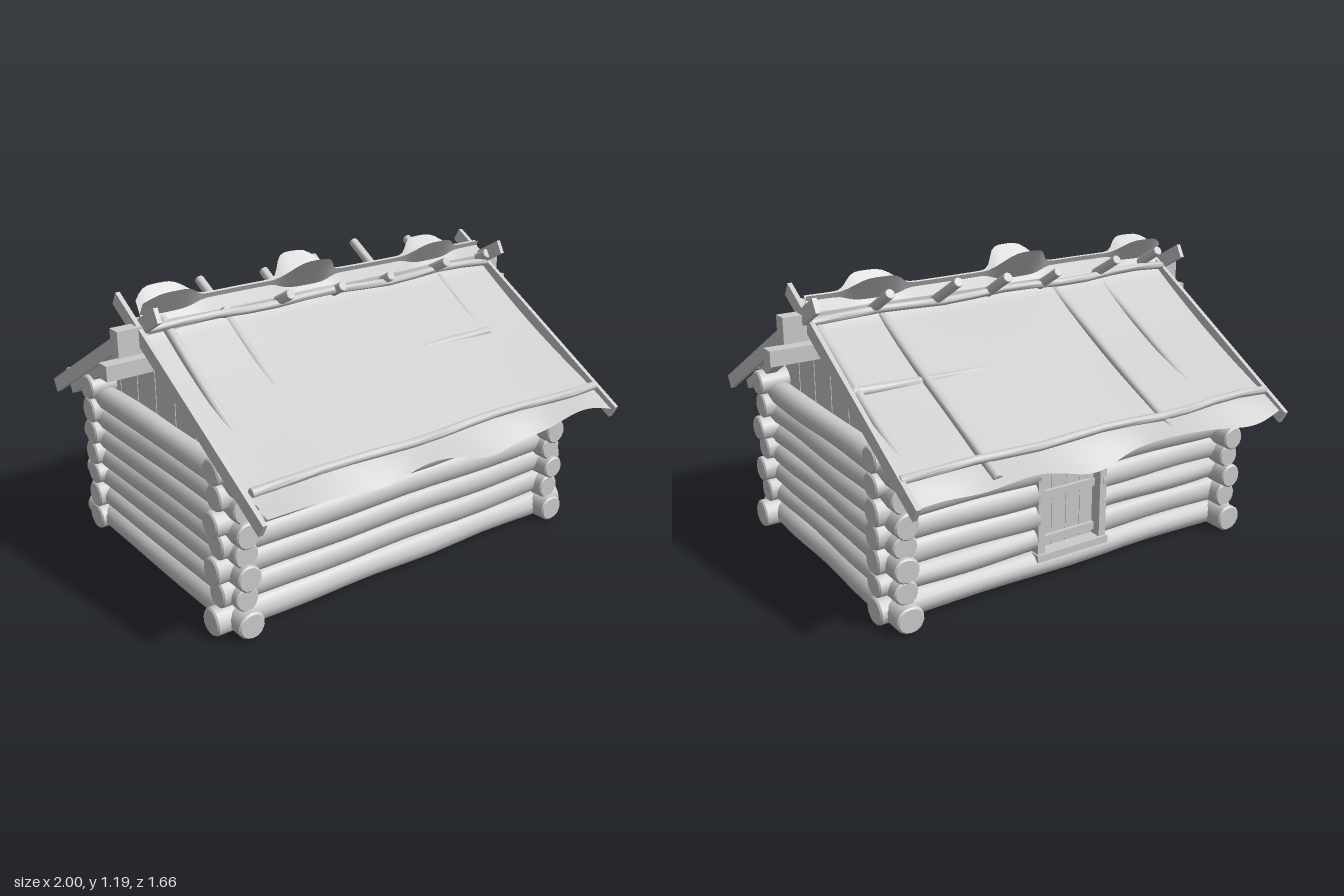
import * as THREE from 'three';
import { toCreasedNormals } from 'three/addons/utils/BufferGeometryUtils.js';

const grey = new THREE.MeshStandardMaterial({ color: 0xcccccc });
const thin = new THREE.MeshStandardMaterial({ color: 0xcccccc, side: THREE.DoubleSide });
const V = (x, y, z) => new THREE.Vector3(x, y, z);

let seed = 7;
const rnd = () => {
  seed = (seed * 16807) % 2147483647;
  return seed / 2147483647;
};

function add(parent, name, geometry, material = grey) {
  const mesh = new THREE.Mesh(geometry, material);
  mesh.name = name;
  parent.add(mesh);
  return mesh;
}

function group(parent, name) {
  const g = new THREE.Group();
  g.name = name;
  parent.add(g);
  return g;
}

// Round timber from a to b with bevelled ends and a slight wobble
function pole(parent, name, a, b, r, wobble = 0.002, sides = 14) {
  const len = a.distanceTo(b), h = len / 2, bevel = r * 0.12;
  const pts = [new THREE.Vector2(0, -h), new THREE.Vector2(r * 0.88, -h)];
  for (let i = 0; i <= 12; i++) pts.push(new THREE.Vector2(r, -h + bevel + (len - 2 * bevel) * i / 12));
  pts.push(new THREE.Vector2(r * 0.88, h), new THREE.Vector2(0, h));
  const geo = new THREE.LatheGeometry(pts, sides);
  const p = geo.attributes.position, ph = rnd() * 6, f = 6 + rnd() * 5;
  for (let i = 0; i < p.count; i++) {
    const x = p.getX(i), y = p.getY(i), z = p.getZ(i);
    const swell = 1 + 0.03 * Math.sin(y * 9 + ph) + 0.04 * Math.sin(x * 60 + ph);
    p.setX(i, x * swell + wobble * Math.sin(y * f + ph));
    p.setZ(i, z * swell + wobble * Math.cos(y * f * 0.8 + ph));
  }
  const mesh = add(parent, name, toCreasedNormals(geo, 0.7));
  mesh.position.copy(a).add(b).multiplyScalar(0.5);
  mesh.quaternion.setFromUnitVectors(V(0, 1, 0), b.clone().sub(a).normalize());
  return mesh;
}

function box(parent, name, w, h, d, x, y, z) {
  const mesh = add(parent, name, new THREE.BoxGeometry(w, h, d));
  mesh.position.set(x, y, z);
  return mesh;
}

// Height of the roof covering at a distance d from the ridge
const roofY = (d) => 1.042 - 0.572 * d;

function buildWalls(root) {
  const walls = group(root, 'logWalls');
  const longY = [0.062, 0.165, 0.265, 0.36, 0.452, 0.55, 0.65];
  const sideY = [0.06, 0.155, 0.25, 0.335, 0.42, 0.51, 0.6];
  const out = [0.03, 0, 0.02, 0, 0.02, 0, 0.01];
  longY.forEach((y, i) => {
    const r = i ? 0.052 : 0.057, e = 0.85 + out[i];
    pole(walls, 'frontLog', V(-e, y, 0.495), V(e, y, 0.495), r);
    if (i === 0 || i === 6) pole(walls, 'backLog', V(-0.845, y, -0.5), V(0.85, y, -0.5), r);
    else {
      pole(walls, 'backLogLeft', V(0.15, y, -0.5), V(0.85, y, -0.5), r);
      pole(walls, 'backLogRight', V(-0.845, y, -0.5), V(-0.14, y, -0.5), r);
    }
  });
  sideY.forEach((y, i) => {
    const r = i ? 0.05 : 0.056, e = 0.58 + out[i];
    for (const s of [-1, 1]) pole(walls, 'sideLog', V(s * 0.77, y, -e - 0.02), V(s * 0.77, y, e), r);
  });
}

// Vertical boards inside each end wall, filling the triangle under the roof
function buildGables(root) {
  const n = 13, w = 0.98 / n;
  const top = (z) => 0.985 - 0.572 * Math.abs(z);
  for (const s of [-1, 1]) {
    const gable = group(root, s > 0 ? 'leftGable' : 'rightGable');
    for (let i = 0; i < n; i++) {
      const z0 = -0.49 + i * w + 0.001, z1 = z0 + w - 0.002, mid = (z0 + z1) / 2;
      const shape = new THREE.Shape([[z0, 0.4], [z1, 0.4], [z1, top(z1)], [mid, top(mid)], [z0, top(z0)]]
        .map((c) => new THREE.Vector2(...c)));
      const plank = add(gable, 'gablePlank', new THREE.ExtrudeGeometry(shape, { depth: 0.02, bevelEnabled: false }));
      plank.rotation.y = -Math.PI / 2;
      plank.position.x = s * 0.722 + 0.01 + (i % 2) * 0.002;
    }
  }
}

// Door with frame, planks, rails and a diagonal brace in the back wall
function buildDoor(root) {
  const door = group(root, 'door');
  for (const x of [-0.145, 0.15]) box(door, 'doorPost', 0.032, 0.55, 0.1, x, 0.37, -0.5);
  box(door, 'doorSill', 0.34, 0.03, 0.12, 0.003, 0.1, -0.5);
  box(door, 'doorLintel', 0.33, 0.035, 0.1, 0.003, 0.63, -0.5);
  for (let i = 0; i < 4; i++) box(door, 'doorPlank', 0.066, 0.5, 0.02, -0.1 + i * 0.068, 0.365, -0.49);
  for (const z of [-0.507, -0.473]) {
    for (const y of [0.15, 0.34, 0.58]) box(door, 'doorRail', 0.27, 0.032, 0.016, 0.003, y, z);
    box(door, 'doorBrace', 0.31, 0.024, 0.014, 0.003, 0.46, z).rotation.z = 0.68;
  }
}

// Wavy covering of one slope, turned up at the ridge; s = 1 faces front, s = -1 faces back
function buildSheet(parent, s) {
  const geo = new THREE.PlaneGeometry(1, 1, 72, 28);
  const p = geo.attributes.position;
  for (let i = 0; i < p.count; i++) {
    const x = p.getX(i) * 1.67, v = 0.5 - p.getY(i);
    const tuft = [[-0.72, 0.7], [-0.1, 1], [0.55, 0.7]]
      .reduce((t, [c, k]) => t + k * Math.exp(-(((x - c) / 0.11) ** 4)), 0);
    const low = 0.81 + 0.01 * Math.sin(x * 8 + s) + 0.008 * Math.sin(x * 15);
    const lip = Math.max(0, 1 - v / 0.25);
    const d = 0.04 + (low - 0.04) * Math.max(0, (v - 0.25) / 0.75);
    const hem = Math.max(0, (d - 0.71) / 0.1);
    const sag = 0.008 * Math.sin(x * 4 + 1) * Math.sin(d * 5)
      - 0.012 * Math.sin(Math.PI * Math.min(1, d / 0.72));
    const y = roofY(d) + sag + 0.004 * Math.cos(x * 4.5 + 2) + lip * (0.1 + 0.075 * tuft)
      + hem * 0.024 * Math.sin(x * 9 + 2 * s);
    p.setXYZ(i, x, y, s * (d - lip * (0.05 + 0.08 * tuft)));
  }
  if (s < 0) {
    const ix = geo.index.array;
    for (let i = 0; i < ix.length; i += 3) [ix[i], ix[i + 1]] = [ix[i + 1], ix[i]];
  }
  geo.computeVertexNormals();
  add(parent, 'roofSheet', geo, thin);
}

function buildRoof(root) {
  const roof = group(root, 'roof');
  // Rafter poles: x at the ridge, x at the eave, overshoot past the ridge, eave distance, lift at ridge and eave
  const rafters = {
    1: [[-0.75, -0.73, 0.12, 0.7, 0.016, -0.055], [-0.49, -0.46, 0.16, 0.66, -0.006, -0.055],
      [-0.19, -0.18, 0.16, 0.68, -0.02, -0.058], [0.06, 0.06, 0.18, 0.7, -0.02, -0.058],
      [0.31, 0.31, 0.22, 0.66, -0.02, -0.055], [0.58, 0.58, 0.18, 0.7, -0.012, -0.058]],
    '-1': [[-0.5, -0.55, 0.06, 0.66, -0.022, -0.026], [-0.25, -0.3, 0.12, 0.78, -0.022, 0],
      [0.02, -0.03, 0.09, 0.68, -0.024, -0.04], [0.27, 0.24, 0.09, 0.68, -0.024, -0.035],
      [0.55, 0.5, 0.12, 0.78, -0.02, 0], [0.82, 0.78, 0.08, 0.68, -0.008, -0.025]],
  };
  const tilt = Math.atan(0.577);
  for (const s of [1, -1]) {
    const slope = group(roof, s > 0 ? 'frontSlope' : 'backSlope');
    buildSheet(slope, s);
    for (const [xa, xb, over, d, liftA, liftB] of rafters[s])
      pole(slope, 'rafter', V(xa, roofY(-over) + liftA, -s * over), V(xb, roofY(d) + liftB, s * d), 0.02, 0.002, 10);
    // Poles laid over the covering, and a purlin underneath
    pole(slope, 'eavePole', V(-0.83, roofY(0.71) + 0.018, s * 0.715), V(0.84, roofY(0.71) + 0.018, s * 0.715), 0.017, 0.006, 10);
    pole(slope, 'ridgePole', V(-0.83, roofY(0.05) + 0.03, s * 0.055), V(0.84, roofY(0.05) + 0.025, s * 0.055), 0.016, 0.006, 10);
    const [end, lift] = s > 0 ? [0.6, -0.022] : [0.82, -0.016];
    pole(slope, 'purlin', V(-0.8, roofY(0.34) - 0.05, s * 0.33), V(end, roofY(0.33) + lift, s * 0.33), 0.02, 0.002, 10);
    // Crossing boards along each end, with a slimmer board under them
    for (const e of [-1, 1]) {
      const barge = box(slope, 'bargeBoard', 0.018, 0.058, 1.11, e * (s > 0 ? 0.855 : 0.838), 0.84, s * 0.337);
      barge.rotation.x = s * tilt;
      const under = box(slope, 'gableRafter', 0.045, 0.04, 0.82, e * 0.805, 0.785, s * 0.34);
      under.rotation.x = s * tilt;
    }
  }
  // Square beams running along the ridge and out past both ends
  box(roof, 'lowerRidgeBeam', 2.0, 0.06, 0.058, 0, 0.907, 0).rotation.set(0, 0.01, 0.007);
  box(roof, 'upperRidgeBeam', 1.89, 0.1, 0.058, -0.005, 1.005, 0.005).rotation.set(0, 0.008, 0.004);
}

export function createModel() {
  const cabin = new THREE.Group();
  cabin.name = 'logCabin';
  buildWalls(cabin);
  buildGables(cabin);
  buildDoor(cabin);
  buildRoof(cabin);
  return cabin;
}
